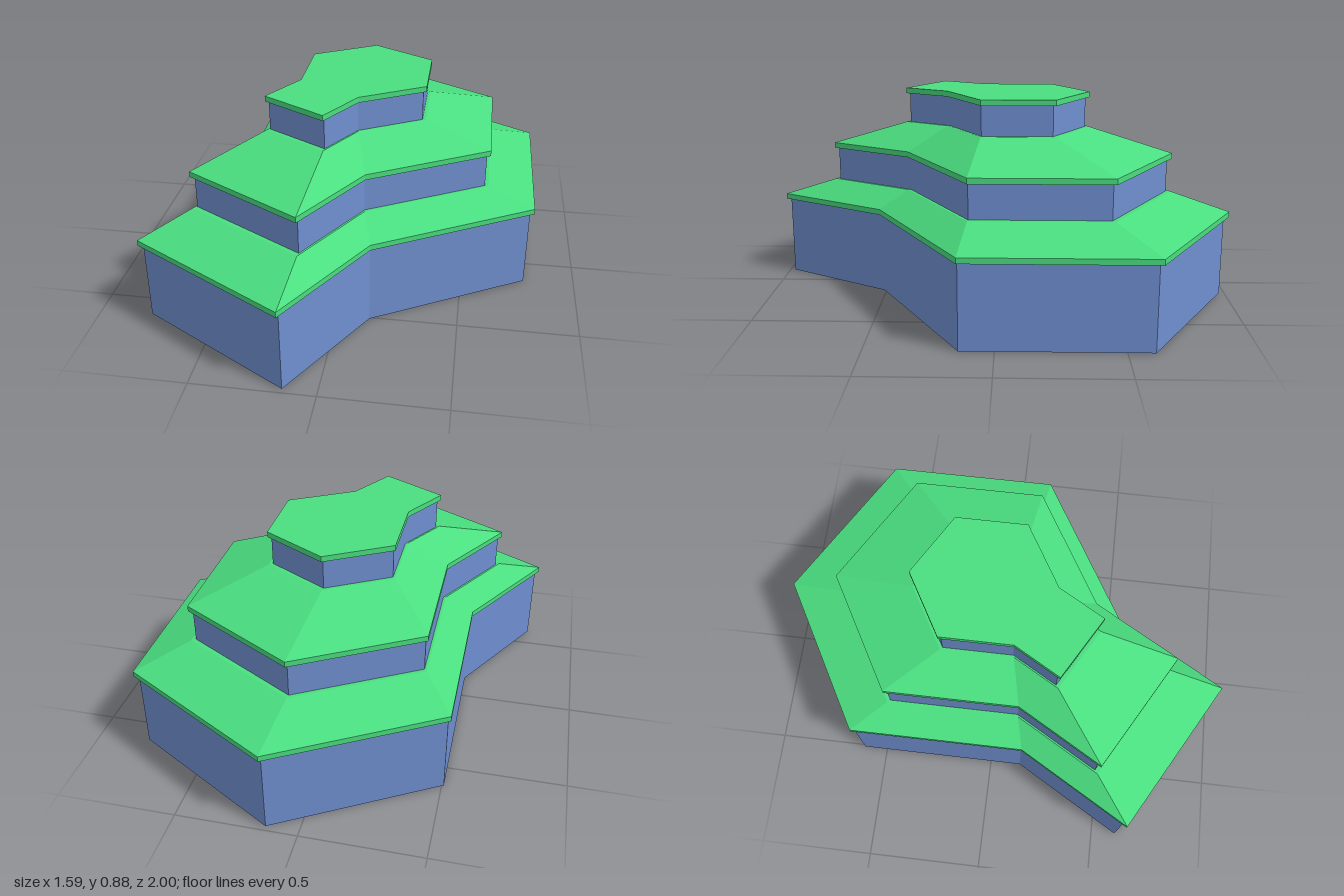
import * as THREE from 'three';

// Footprint (x, z) of the lowest eave: a hexagonal hall with an angled wing
const FOOTPRINT = [
  [0.137, -1], [0.797, -0.62], [0.797, 0.14], [0.137, 0.52],
  [-0.14, 1], [-0.797, 0.62], [-0.52, 0.14], [-0.52, -0.62],
].map(([x, z]) => new THREE.Vector2(x, z));

// Flat-faced solid through scaled copies of the footprint; ring = { s, x, z, y }
function loft(rings) {
  const n = FOOTPRINT.length;
  const pos = [];
  const point = (r, i) => {
    const p = FOOTPRINT[i % n];
    return [p.x * r.s + r.x, r.y, p.y * r.s + r.z];
  };
  for (let k = 0; k < rings.length - 1; k++) {
    const lo = rings[k], hi = rings[k + 1];
    for (let i = 0; i < n; i++) {
      const a = point(lo, i), b = point(lo, i + 1), c = point(hi, i), d = point(hi, i + 1);
      pos.push(...a, ...c, ...b, ...b, ...c, ...d);
    }
  }
  // Bottom and top caps, each turned to face outward
  const bottom = rings[0], top = rings[rings.length - 1];
  for (const [i, j, k] of THREE.ShapeUtils.triangulateShape(FOOTPRINT.slice(), [])) {
    const area = THREE.ShapeUtils.area([FOOTPRINT[i], FOOTPRINT[j], FOOTPRINT[k]]);
    const [u, v] = area > 0 ? [j, k] : [k, j];
    pos.push(...point(bottom, i), ...point(bottom, u), ...point(bottom, v));
    pos.push(...point(top, i), ...point(top, v), ...point(top, u));
  }
  const geo = new THREE.BufferGeometry();
  geo.setAttribute('position', new THREE.Float32BufferAttribute(pos, 3));
  geo.computeVertexNormals();
  return geo;
}

export function createModel() {
  const wallMat = new THREE.MeshStandardMaterial({ color: 0x6f8fd0, flatShading: true });
  const roofMat = new THREE.MeshStandardMaterial({ color: 0x4ade80, flatShading: true });

  // Per tier: eave and wall scale, centre shift, wall base and eave heights
  const tiers = [
    { name: 'lower', eave: 1, wall: 0.978, x: 0, z: 0, base: 0, top: 0.35 },
    { name: 'middle', eave: 0.752, wall: 0.732, x: -0.005, z: 0.004, base: 0.455, top: 0.6 },
    { name: 'upper', eave: 0.403, wall: 0.386, x: -0.01, z: 0.012, base: 0.73, top: 0.858 },
  ];
  const FASCIA = 0.024;

  const model = new THREE.Group();
  model.name = 'tieredBuilding';
  tiers.forEach((t, i) => {
    const tier = new THREE.Group();
    tier.name = `${t.name}Tier`;
    const ring = (s, y, c = t) => ({ s, x: c.x, z: c.z, y });

    const walls = new THREE.Mesh(loft([ring(t.wall, t.base), ring(t.wall, t.top)]), wallMat);
    walls.name = `${t.name}Walls`;

    // Vertical fascia, then a slope rising to the next tier's outline
    const rings = [ring(t.eave, t.top), ring(t.eave, t.top + FASCIA)];
    const next = tiers[i + 1];
    if (next) rings.push(ring(next.eave, next.base, next));
    const roof = new THREE.Mesh(loft(rings), roofMat);
    roof.name = `${t.name}Roof`;

    tier.add(walls, roof);
    model.add(tier);
  });
  return model;
}
